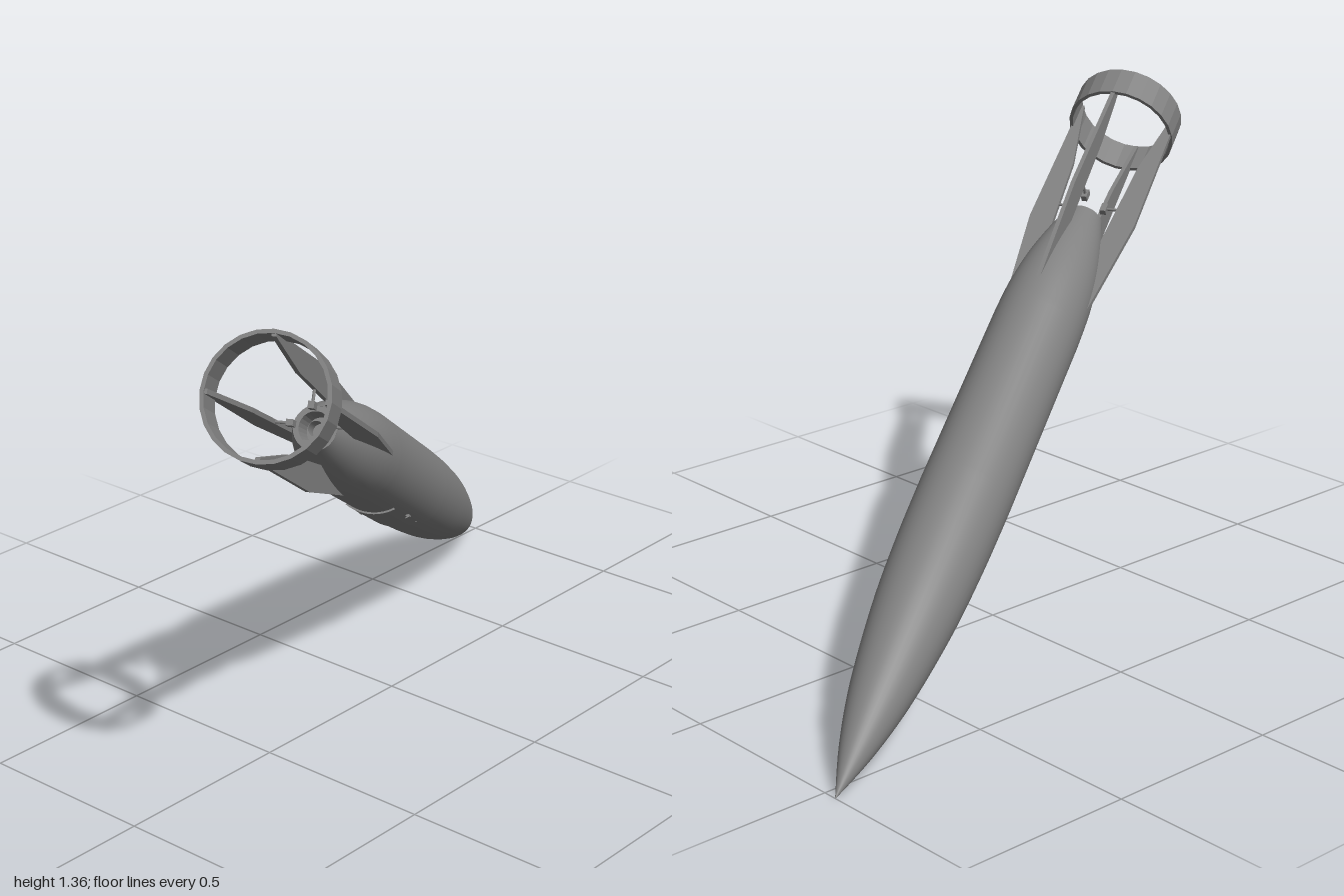
import * as THREE from 'three';

const grey = new THREE.MeshStandardMaterial({ color: 0x808080, side: THREE.DoubleSide });
grey.name = 'grey metal';

const v2 = (pairs) => pairs.map(([x, y]) => new THREE.Vector2(x, y));

function add(parent, name, geometry) {
  const mesh = new THREE.Mesh(geometry, grey);
  mesh.name = name;
  parent.add(mesh);
  return mesh;
}

// Flat plate in the radius / length plane
function plate(points, thickness) {
  const g = new THREE.ExtrudeGeometry(new THREE.Shape(v2(points)), { depth: thickness, bevelEnabled: false });
  return g.translate(0, 0, -thickness / 2);
}

export function createModel() {
  const model = new THREE.Group();
  model.name = 'rocket';

  // The rocket is built nose-first along its own +y, belly towards +z
  const rocket = new THREE.Group();
  rocket.name = 'tiltedRocket';
  const axis = new THREE.Vector3(0.38, 0.5, 0.778).normalize();
  const side = new THREE.Vector3(axis.z, 0, -axis.x).normalize();
  const belly = new THREE.Vector3().crossVectors(side, axis);
  rocket.quaternion.setFromRotationMatrix(new THREE.Matrix4().makeBasis(side, axis, belly));
  rocket.position.set(-0.54, 0, -1);
  model.add(rocket);

  // Fuselage: pointed nose, straight middle, tapered tail
  const nose = new THREE.SplineCurve(v2([
    [0.001, 0], [0.044, 0.14], [0.08, 0.31], [0.108, 0.54], [0.12, 0.75], [0.124, 0.95],
  ])).getPoints(30);
  const tail = new THREE.SplineCurve(v2([
    [0.124, 1.55], [0.12, 1.66], [0.107, 1.77], [0.084, 1.88], [0.056, 1.98],
  ])).getPoints(16);
  add(rocket, 'fuselage', new THREE.LatheGeometry([...nose, ...tail], 40));

  // Hollow engine outlet
  const rim = new THREE.LatheGeometry(v2([
    [0.056, 1.98], [0.042, 1.98], [0.036, 1.92], [0, 1.92],
  ]), 24).toNonIndexed();
  rim.computeVertexNormals();
  add(rocket, 'engineOutlet', rim);
  const core = add(rocket, 'engineCore', new THREE.CylinderGeometry(0.02, 0.02, 0.05, 16, 1, true));
  core.position.y = 1.945;

  // Raised access hatch on the belly, with its latch
  const half = 0.56;
  const hatch = new THREE.LatheGeometry(v2([
    [0.122, 1.02], [0.129, 1.02], [0.129, 1.31], [0.122, 1.31],
  ]), 12, -half, half * 2).toNonIndexed();
  hatch.computeVertexNormals();
  add(rocket, 'hatch', hatch);
  for (const s of [-1, 1]) {
    const latch = add(rocket, 'hatchLatch', new THREE.BoxGeometry(0.012, 0.025, 0.01));
    latch.position.set(Math.sin(s * half) * 0.127, 1.14, Math.cos(half) * 0.127);
    latch.rotation.y = s * half;
  }

  // Four fins, each with a steering vane behind the engine
  for (let i = 0; i < 4; i++) {
    const quarter = new THREE.Group();
    quarter.name = 'finAssembly';
    quarter.rotation.y = i * Math.PI / 2;
    rocket.add(quarter);
    add(quarter, 'fin', plate([
      [0.115, 1.58], [0.157, 1.97], [0.152, 2.44], [0.14, 2.44],
      [0.098, 2.2], [0.078, 1.88], [0.1, 1.75],
    ], 0.012));
    const vane = add(quarter, 'steeringVane', new THREE.BoxGeometry(0.018, 0.03, 0.016));
    vane.position.set(0.048, 2.03, 0);
    const rod = add(quarter, 'vaneRod', new THREE.CylinderGeometry(0.004, 0.004, 0.046, 8));
    rod.rotation.z = Math.PI / 2;
    rod.position.set(0.075, 2.03, 0);
  }

  // Ring joining the fin tips
  const band = new THREE.Shape().absarc(0, 0, 0.157, 0, Math.PI * 2);
  band.holes.push(new THREE.Path().absarc(0, 0, 0.147, 0, Math.PI * 2, true));
  const ring = new THREE.ExtrudeGeometry(band, { depth: 0.095, bevelEnabled: false, curveSegments: 12 });
  ring.rotateX(-Math.PI / 2).translate(0, 2.35, 0);
  add(rocket, 'tailRing', ring);

  return model;
}
